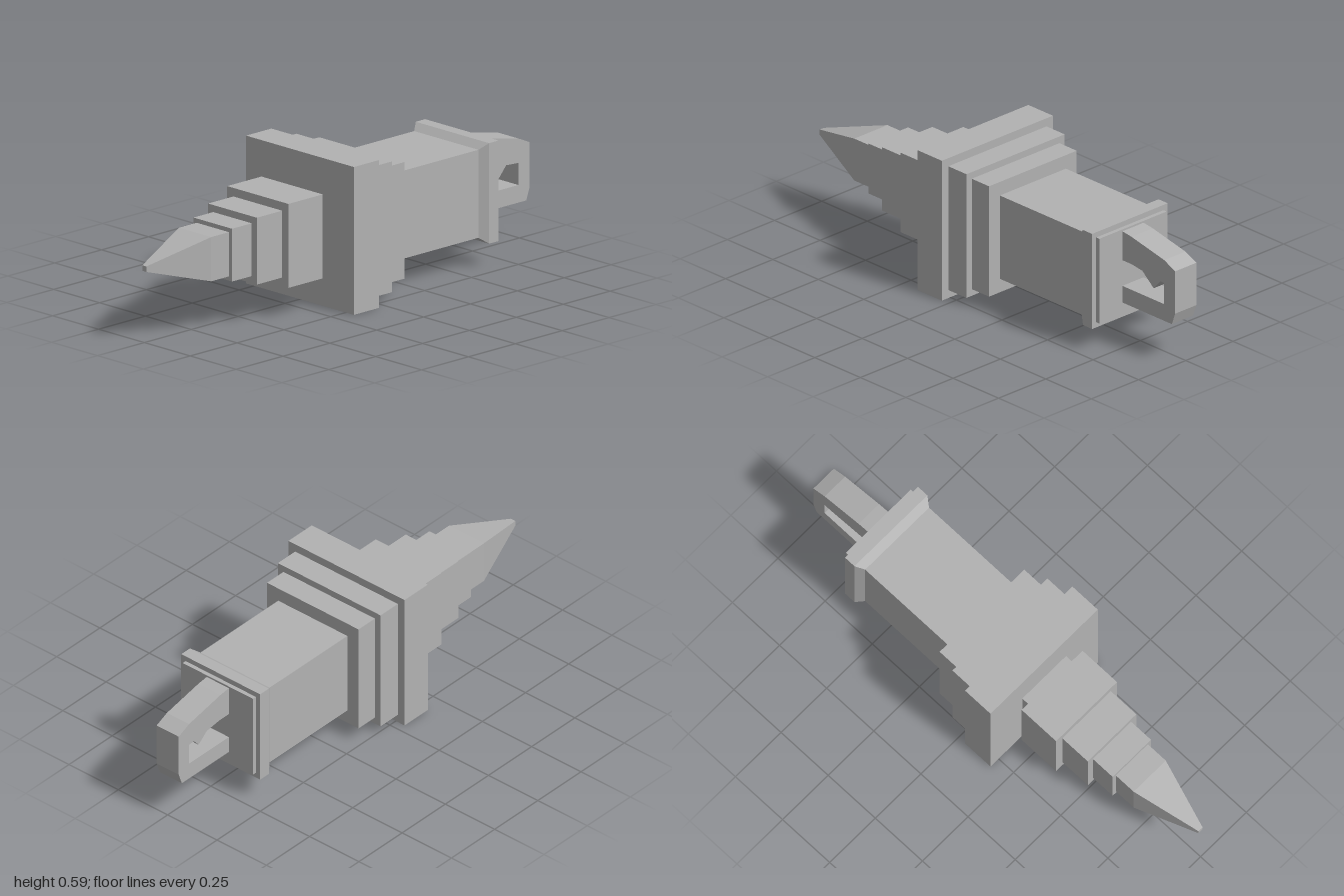
import * as THREE from 'three';

const CY = 0.294; // height of the long axis

// Square section along z: half-width r0 at z0 (rear) to r1 at z1 (front)
function squareSection(z0, r0, z1, r1 = r0) {
  const len = z1 - z0;
  let g;
  if (r0 === r1) {
    g = new THREE.BoxGeometry(2 * r0, 2 * r0, len);
  } else {
    g = new THREE.CylinderGeometry(r1 * Math.SQRT2, r0 * Math.SQRT2, len, 4, 1);
    g.rotateY(Math.PI / 4).rotateX(Math.PI / 2);
    g = g.toNonIndexed();
    g.computeVertexNormals();
  }
  return g.translate(0, CY, (z0 + z1) / 2);
}

// Side profile given as [z, y] pairs, extruded across x and centred
function sideProfile(points, width) {
  const shape = new THREE.Shape(points.map(([z, y]) => new THREE.Vector2(-z, y)));
  const g = new THREE.ExtrudeGeometry(shape, { depth: width, bevelEnabled: false });
  return g.translate(0, 0, -width / 2).rotateY(Math.PI / 2);
}

export function createModel() {
  const group = new THREE.Group();
  const grey = new THREE.MeshStandardMaterial({ color: 0xb2b2b2 });
  grey.name = 'grey';

  const add = (name, geometry) => {
    const mesh = new THREE.Mesh(geometry, grey);
    mesh.name = name;
    group.add(mesh);
  };

  // Stepped square body: name, rear z, rear half-width, front z, front half-width
  const sections = [
    ['tip', 0.73, 0.088, 1.0, 0.011],
    ['tipBase', 0.635, 0.088, 0.73],
    ['smallStep', 0.53, 0.105, 0.635],
    ['middleStep', 0.395, 0.133, 0.53],
    ['largeStep', 0.212, 0.167, 0.395],
    ['neck', 0.17, 0.12, 0.212],
    ['flange', 0.035, 0.294, 0.17],
    ['flangeStep', -0.065, 0.26, 0.035],
    ['bodyStep', -0.16, 0.232, -0.065],
    ['body', -0.61, 0.175, -0.16],
    ['collarTaper', -0.643, 0.2, -0.61, 0.175],
    ['collar', -0.693, 0.2, -0.643],
    ['endPlate', -0.71, 0.178, -0.693],
  ];
  for (const [name, ...dims] of sections) add(name, squareSection(...dims));

  // Loop handle at the rear
  add('handle', sideProfile([
    [-0.705, 0.465], [-0.76, 0.458], [-0.94, 0.42], [-1.0, 0.393],
    [-1.0, 0.215], [-0.982, 0.165], [-0.705, 0.165], [-0.705, 0.235],
    [-0.94, 0.235], [-0.94, 0.323], [-0.89, 0.326], [-0.76, 0.343], [-0.705, 0.343],
  ], 0.112));

  // Pointed catch inside the loop
  add('catch', sideProfile([[-0.76, 0.345], [-0.91, 0.328], [-0.855, 0.265]], 0.06));

  return group;
}
